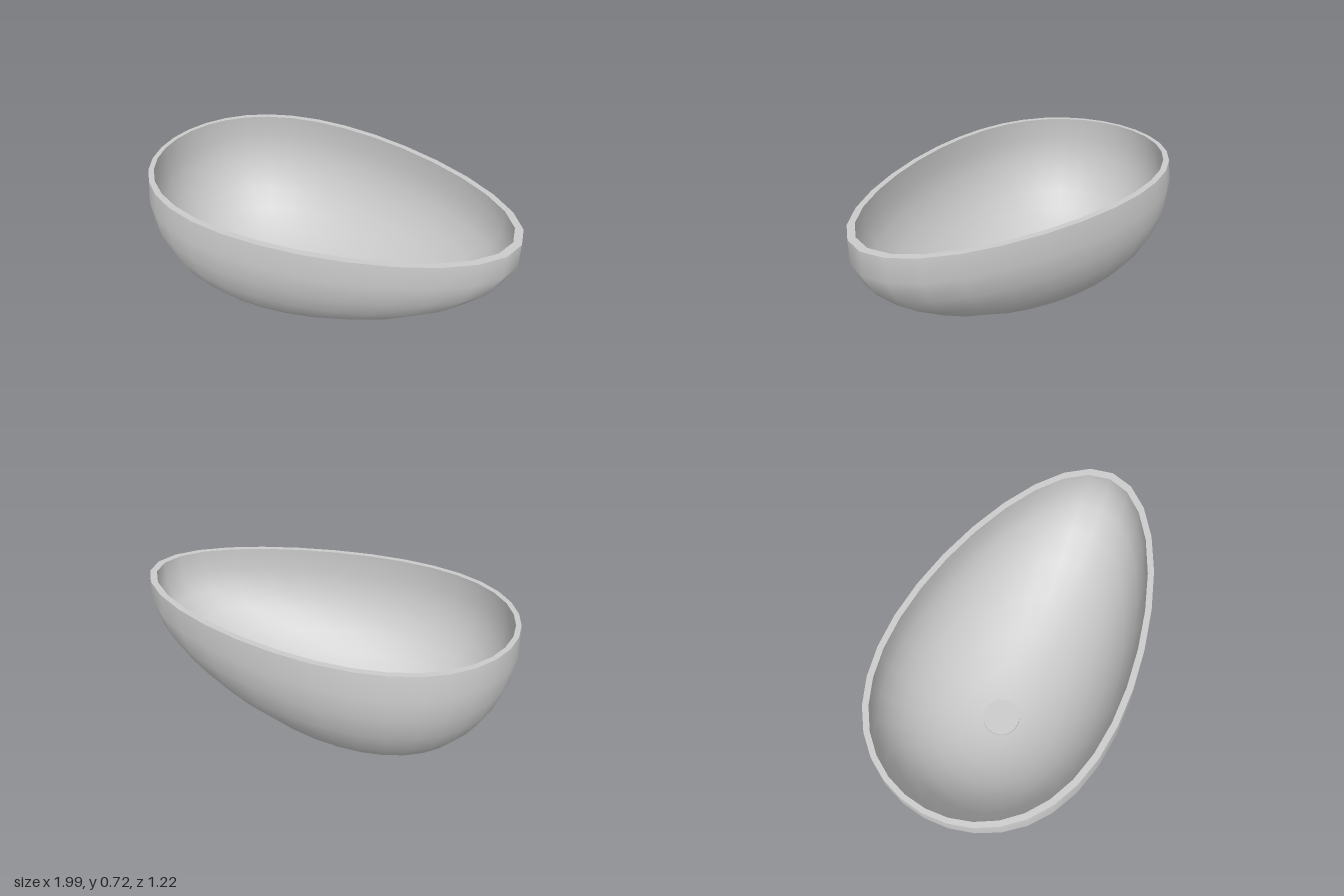
import * as THREE from 'three';

const SEG = 32, STEP = Math.PI / 16, RINGS = 9, WIDEST = 0.6, RIM = 0.72;

// Egg-shaped ring of the basin; ring 1 is the flat base, ring 9 the rim.
function ring(i, floor, lengthScale, halfWidth) {
  const s = Math.sin(i * STEP);
  const y = i === RINGS ? RIM
    : WIDEST - (WIDEST - floor) * Math.cos(i * STEP) / Math.cos(STEP);
  const centre = -0.31 + 0.1 * y, stretch = 0.91 + 0.14 * y;
  const points = [];
  for (let j = 0; j < SEG; j++) {
    const t = j / SEG * Math.PI * 2, u = s * Math.cos(t);
    const x = u * stretch * (0.95 + 0.05 * u * u) + 0.24 * u * u;
    points.push([centre + lengthScale * x, y, halfWidth * s * Math.sin(t)]);
  }
  return points;
}

const wall = (floor, lengthScale, halfWidth) =>
  Array.from({ length: RINGS }, (_, k) => ring(k + 1, floor, lengthScale, halfWidth));

// Skin over successive rings, optionally closed at the first ring.
function loft(rings, closed, flip) {
  const pos = rings.flat(2), index = [];
  const tri = (a, b, c) => flip ? index.push(a, c, b) : index.push(a, b, c);
  for (let i = 0; i < rings.length - 1; i++) {
    for (let j = 0; j < SEG; j++) {
      const a = i * SEG + j, b = i * SEG + (j + 1) % SEG;
      tri(a, a + SEG, b);
      tri(b, a + SEG, b + SEG);
    }
  }
  if (closed) {
    const hub = pos.length / 3;
    pos.push(-0.3, rings[0][0][1], 0);
    for (let j = 0; j < SEG; j++) tri(hub, j, (j + 1) % SEG);
  }
  const g = new THREE.BufferGeometry();
  g.setAttribute('position', new THREE.Float32BufferAttribute(pos, 3));
  g.setIndex(index);
  g.computeVertexNormals();
  return g;
}

export function createModel() {
  const group = new THREE.Group();
  group.name = 'eggShapedBasin';
  const material = new THREE.MeshStandardMaterial({ color: 0xcccccc });
  const add = (name, geometry) => {
    const mesh = new THREE.Mesh(geometry, material);
    mesh.name = name;
    group.add(mesh);
    return mesh;
  };

  // Basin shell
  const outer = wall(0, 1, 0.61), inner = wall(0.04, 0.967, 0.578);
  add('outerWall', loft(outer, true, false));
  add('innerWall', loft(inner, true, true));
  add('rim', loft([outer[RINGS - 1], inner[RINGS - 1]], false, false));

  // Drain cover on the basin floor
  add('drainCover', new THREE.CylinderGeometry(0.1, 0.1, 0.02, 32)).position.set(-0.3, 0.05, 0);
  return group;
}
